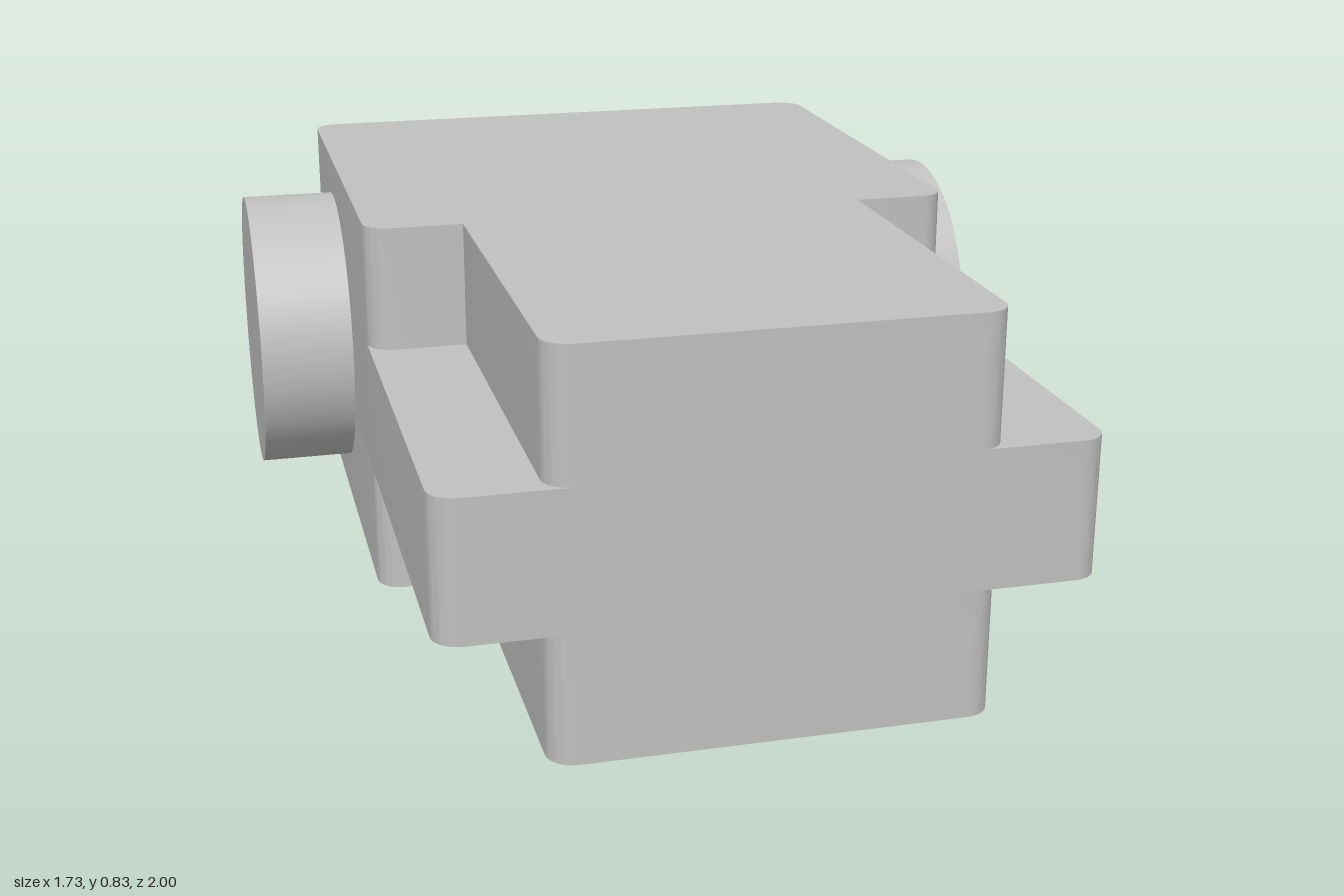
import * as THREE from 'three';
import { toCreasedNormals } from 'three/addons/utils/BufferGeometryUtils.js';

const HALF_W = 0.655;   // half width of the body and the rails
const NOSE_W = 0.445;   // half width of the narrow front
const STEP_Z = 0.12;    // where the body narrows
const R = 0.055;        // rounding of upright edges
const RAIL_LOW = 0.27, RAIL_HIGH = 0.56, HEIGHT = 0.83;

// Plan outline from [x, z, radius] corners, counter-clockwise seen from above
function outline(corners) {
  const pts = corners.map(([x, z, r]) => ({ p: new THREE.Vector2(x, -z), r }));
  const shape = new THREE.Shape();
  pts.forEach(({ p, r }, i) => {
    const prev = pts[(i + pts.length - 1) % pts.length].p;
    const next = pts[(i + 1) % pts.length].p;
    const a = prev.clone().sub(p).setLength(r).add(p);
    const b = next.clone().sub(p).setLength(r).add(p);
    if (i === 0) shape.moveTo(a.x, a.y);
    else shape.lineTo(a.x, a.y);
    if (r > 0) {
      // Quarter circle as a cubic curve
      const c1 = a.clone().lerp(p, 0.5523), c2 = b.clone().lerp(p, 0.5523);
      shape.bezierCurveTo(c1.x, c1.y, c2.x, c2.y, b.x, b.y);
    }
  });
  shape.closePath();
  return shape;
}

// Upright slab between two heights
function slab(name, shape, y0, y1, material) {
  const geo = new THREE.ExtrudeGeometry(shape, { depth: y1 - y0, bevelEnabled: false, curveSegments: 10 });
  geo.rotateX(-Math.PI / 2).translate(0, y0, 0);
  const mesh = new THREE.Mesh(toCreasedNormals(geo, 0.6), material);
  mesh.name = name;
  return mesh;
}

export function createModel() {
  const group = new THREE.Group();
  group.name = 'steppedBlock';
  const grey = new THREE.MeshStandardMaterial({ color: 0xc0c0c0 });
  grey.name = 'plain grey';

  // Stepped plan for the upper and lower layers, full plan for the rail layer
  const stepped = outline([
    [-HALF_W, -1, R], [-HALF_W, STEP_Z, R], [-NOSE_W, STEP_Z, 0], [-NOSE_W, 1, R],
    [NOSE_W, 1, R], [NOSE_W, STEP_Z, 0], [HALF_W, STEP_Z, R], [HALF_W, -1, R],
  ]);
  const full = outline([[-HALF_W, -1, R], [-HALF_W, 1, R], [HALF_W, 1, R], [HALF_W, -1, R]]);
  group.add(
    slab('lowerBody', stepped, 0, RAIL_LOW, grey),
    slab('sideRails', full, RAIL_LOW, RAIL_HIGH, grey),
    slab('upperBody', stepped, RAIL_HIGH, HEIGHT, grey),
  );

  // Round bosses on both sides
  for (const side of [1, -1]) {
    const boss = new THREE.Mesh(new THREE.CylinderGeometry(0.325, 0.325, 0.23, 64), grey);
    boss.name = side > 0 ? 'leftBoss' : 'rightBoss';
    boss.rotation.z = -side * Math.PI / 2;
    boss.position.set(side * 0.752, HEIGHT / 2, -0.58);
    group.add(boss);
  }
  return group;
}
